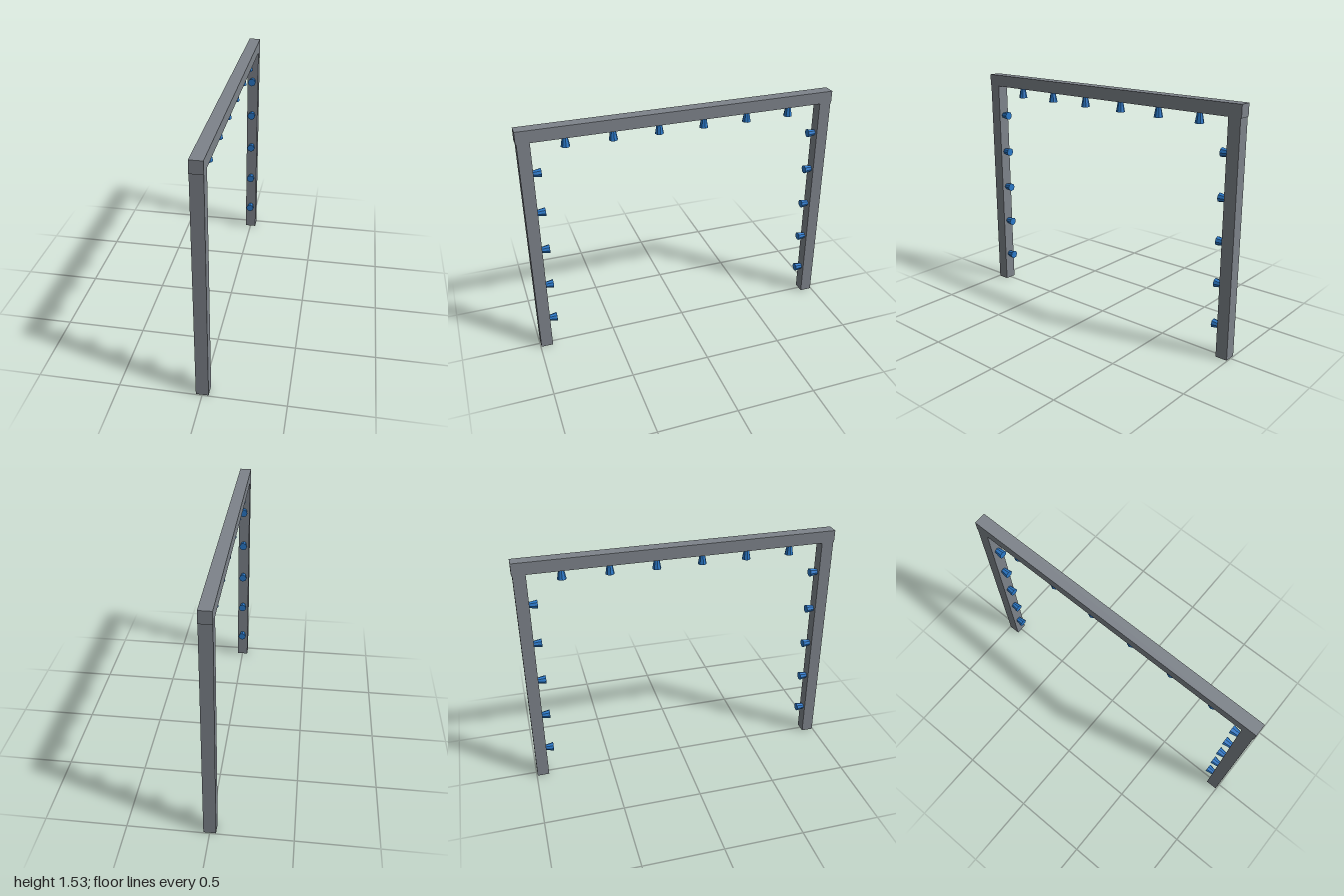
import * as THREE from 'three';

const steel = new THREE.MeshStandardMaterial({ color: 0x7d838a });
const blue = new THREE.MeshStandardMaterial({ color: 0x2a78c8, flatShading: true });

const SIZE = 0.076;   // square section of the frame
const BEAM_Y = 1.452; // underside of the top beam
const POST_Z = 0.957;

function bar(name, h, d, y, z) {
  const mesh = new THREE.Mesh(new THREE.BoxGeometry(SIZE, h, d), steel);
  mesh.name = name;
  mesh.position.set(0, y, z);
  return mesh;
}

export function createModel() {
  const group = new THREE.Group();
  group.name = 'sprayArch';

  // Frame: two posts carrying a slightly longer beam
  group.add(bar('frontPost', BEAM_Y, SIZE, BEAM_Y / 2, POST_Z));
  group.add(bar('backPost', BEAM_Y, SIZE, BEAM_Y / 2, -POST_Z));
  group.add(bar('topBeam', SIZE, 2, BEAM_Y + SIZE / 2, 0));

  // Nozzle: tapered, the wide mouth pointing along local -y, base at the origin
  const nozzleGeometry = (length, baseRadius) =>
    new THREE.CylinderGeometry(baseRadius, 0.028, length, 8).translate(0, -length / 2, 0);
  const beamNozzle = nozzleGeometry(0.065, 0.016);
  const postNozzle = nozzleGeometry(0.05, 0.019);

  function addNozzle(name, geometry, y, z, tilt) {
    const mesh = new THREE.Mesh(geometry, blue);
    mesh.name = name;
    mesh.position.set(0, y, z);
    mesh.rotation.x = tilt;
    group.add(mesh);
  }

  // Six nozzles hang below the beam
  for (let i = 0; i < 6; i++) {
    addNozzle('beamNozzle', beamNozzle, BEAM_Y, (i - 2.5) * 2 / 7, 0);
  }

  // Five nozzles face inward on each post
  for (const side of [1, -1]) {
    for (let i = 0; i < 5; i++) {
      addNozzle('postNozzle', postNozzle, 0.193 + i * 0.2625,
        side * (POST_Z - SIZE / 2), side * Math.PI / 2);
    }
  }
  return group;
}
